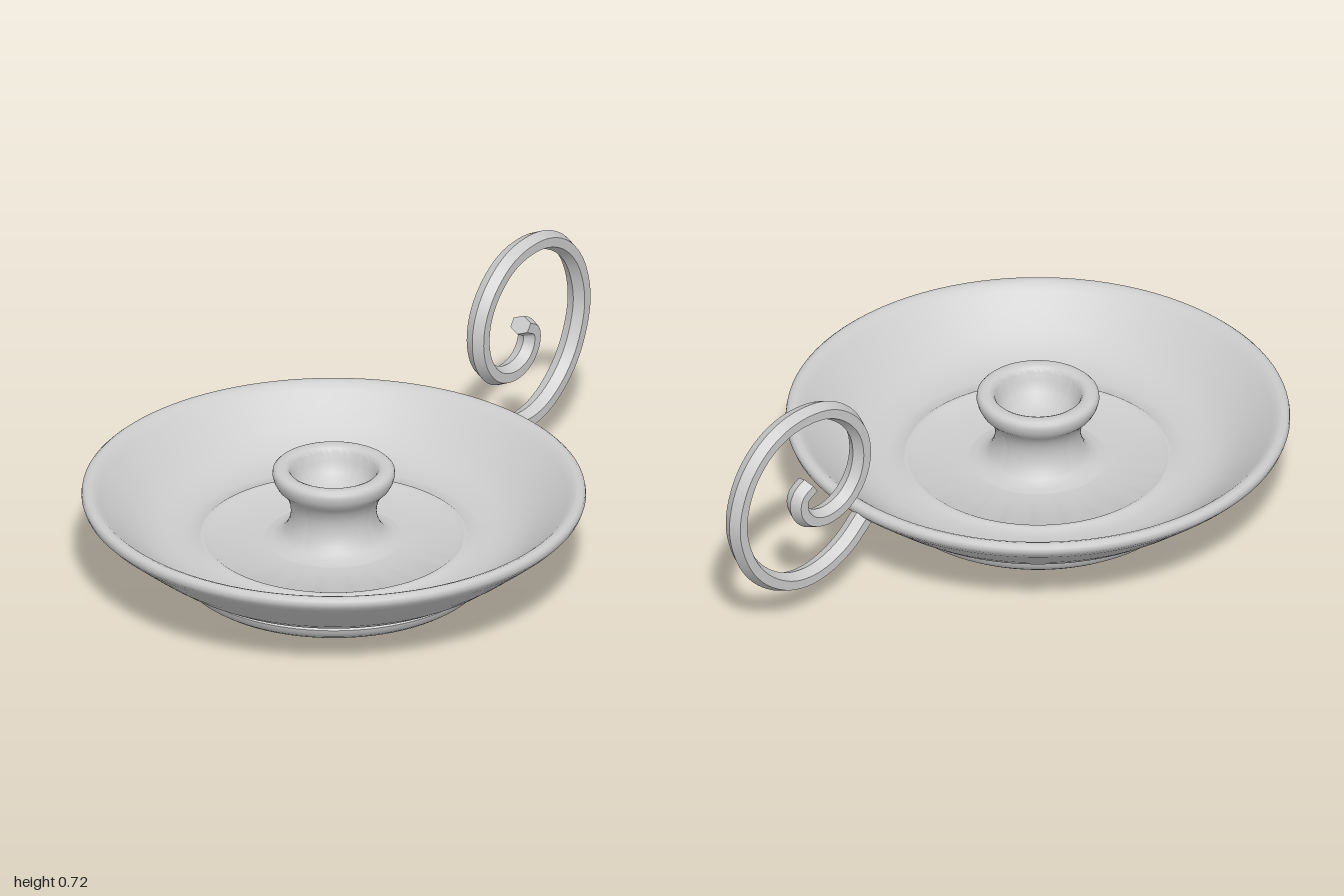
import * as THREE from 'three';
import { toCreasedNormals } from 'three/addons/utils/BufferGeometryUtils.js';

const material = new THREE.MeshStandardMaterial({ color: 0xcccccc, side: THREE.DoubleSide });
const DISH_Z = 0.26;

// Turned part around the dish axis, from [radius, height] pairs
function turned(name, profile) {
  const points = profile.map(([r, y]) => new THREE.Vector2(r, y));
  const geometry = toCreasedNormals(new THREE.LatheGeometry(points, 96), 0.8);
  const mesh = new THREE.Mesh(geometry, material);
  mesh.name = name;
  mesh.position.z = DISH_Z;
  return mesh;
}

export function createModel() {
  const group = new THREE.Group();
  group.name = 'chamberstick';

  // Rounded foot ring with a slightly recessed underside
  group.add(turned('foot', [
    [0, 0.012], [0.345, 0.012], [0.355, 0.004], [0.375, 0], [0.41, 0], [0.43, 0.005],
    [0.447, 0.017], [0.458, 0.033], [0.461, 0.044], [0.455, 0.05], [0.43, 0.055],
  ]));

  // Wide flared dish with a rolled lip and a fine raised ring on its floor
  group.add(turned('dish', [
    [0.42, 0.045], [0.45, 0.05], [0.495, 0.068], [0.55, 0.101], [0.61, 0.145], [0.67, 0.193],
    [0.72, 0.234], [0.738, 0.252], [0.743, 0.265], [0.741, 0.277], [0.733, 0.284], [0.72, 0.285],
    [0.706, 0.279], [0.69, 0.265], [0.65, 0.229], [0.6, 0.186], [0.56, 0.157], [0.52, 0.137],
    [0.48, 0.127], [0.44, 0.125], [0.403, 0.125], [0.396, 0.13], [0.388, 0.132], [0.38, 0.13],
    [0.373, 0.125], [0.2, 0.125], [0, 0.125],
  ]));

  // Waisted candle socket with a thick rim and a bowl-shaped hollow
  group.add(turned('candleSocket', [
    [0.21, 0.124], [0.18, 0.129], [0.155, 0.141], [0.14, 0.16], [0.13, 0.185], [0.126, 0.21],
    [0.128, 0.235], [0.137, 0.262], [0.152, 0.282], [0.167, 0.297], [0.176, 0.314], [0.181, 0.333],
    [0.179, 0.346], [0.172, 0.353], [0.16, 0.356], [0.143, 0.355], [0.133, 0.35], [0.127, 0.34],
    [0.121, 0.315], [0.105, 0.285], [0.08, 0.262], [0.045, 0.248], [0, 0.243],
  ]));

  // Spiral handle: centre line as [z, y], swept with a six-sided section
  const spiral = new THREE.CatmullRomCurve3([
    [-0.455, 0.245], [-0.53, 0.18], [-0.61, 0.142], [-0.69, 0.13], [-0.775, 0.147], [-0.865, 0.205],
    [-0.93, 0.29], [-0.967, 0.42], [-0.94, 0.545], [-0.877, 0.63], [-0.796, 0.678], [-0.705, 0.692],
    [-0.61, 0.675], [-0.53, 0.62], [-0.481, 0.545], [-0.469, 0.465], [-0.49, 0.39], [-0.545, 0.332],
    [-0.62, 0.312], [-0.684, 0.331], [-0.718, 0.375], [-0.717, 0.418], [-0.678, 0.444],
  ].map(([z, y]) => new THREE.Vector3(-0.012, y, z)));
  const section = new THREE.Shape(Array.from({ length: 6 }, (_, i) => {
    const a = Math.PI / 2 + (i * Math.PI) / 3;
    return new THREE.Vector2(0.036 * Math.cos(a), 0.029 * Math.sin(a));
  }));
  const handleGeometry = new THREE.ExtrudeGeometry(section, { steps: 140, extrudePath: spiral });
  const handle = new THREE.Mesh(toCreasedNormals(handleGeometry, 0.5), material);
  handle.name = 'spiralHandle';
  group.add(handle);

  return group;
}
